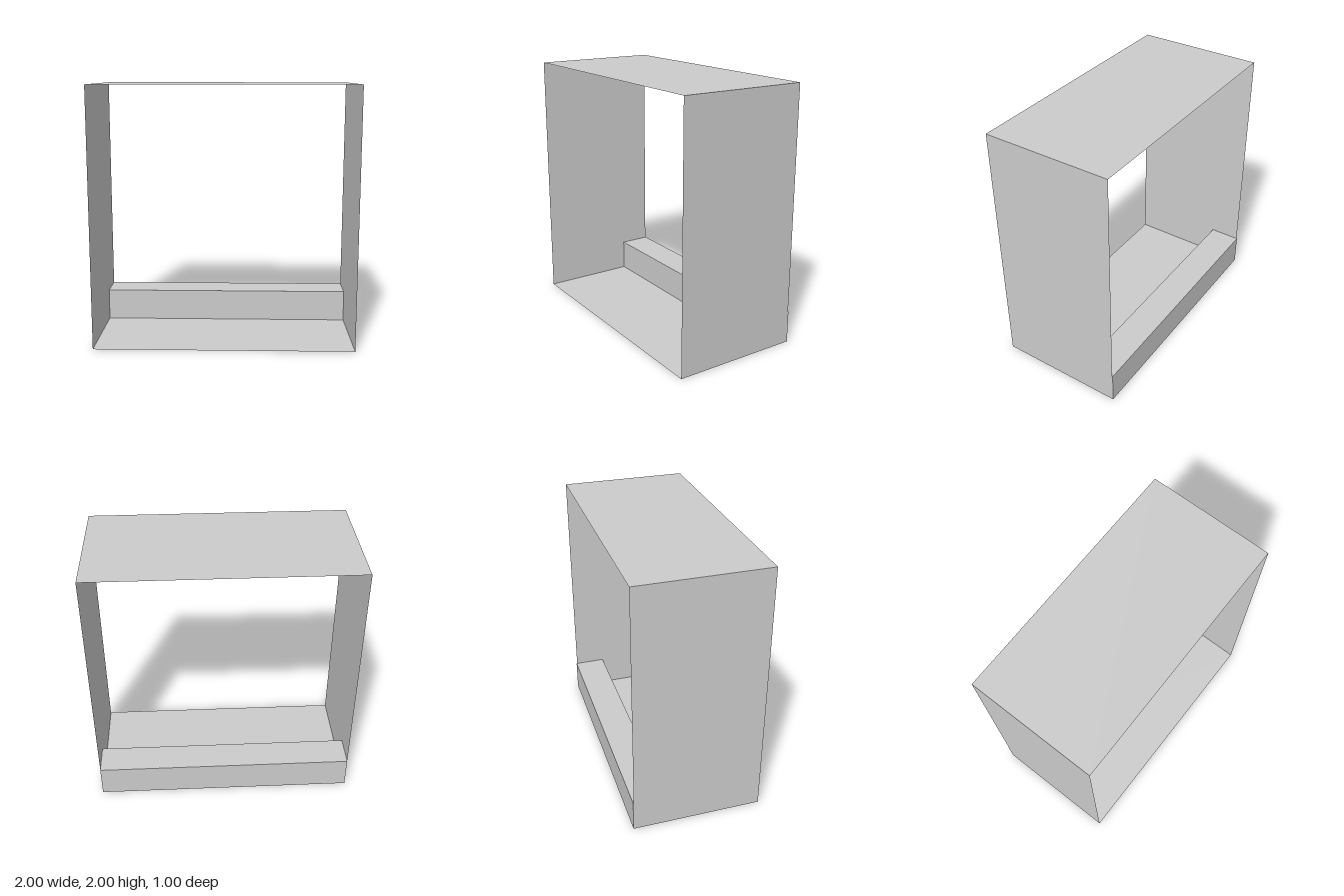
import * as THREE from 'three';

export function createModel() {
  const group = new THREE.Group();
  const sheet = new THREE.MeshStandardMaterial({ color: 0xcccccc, flatShading: true, side: THREE.DoubleSide });
  const solid = new THREE.MeshStandardMaterial({ color: 0xcccccc, flatShading: true });
  const front = 0.5, back = -0.495;
  const depth = front - back, midZ = (front + back) / 2;

  // Thin open frame: floor, ceiling and two side walls
  const addPanel = (name, x, y, rotX, rotY) => {
    const geometry = rotX ? new THREE.PlaneGeometry(2, depth) : new THREE.PlaneGeometry(depth, 2);
    const mesh = new THREE.Mesh(geometry, sheet);
    mesh.name = name;
    mesh.rotation.set(rotX, rotY, 0);
    mesh.position.set(x, y, midZ);
    group.add(mesh);
  };
  addPanel('floor', 0, 0, Math.PI / 2, 0);
  addPanel('ceiling', 0, 2, -Math.PI / 2, 0);
  addPanel('leftWall', 1, 1, 0, Math.PI / 2);
  addPanel('rightWall', -1, 1, 0, -Math.PI / 2);

  // Low ledge along the back, in two lengths that meet at a seam
  const seam = -0.375;
  for (const [name, x0, x1] of [['rightLedge', -1, seam], ['leftLedge', seam, 1]]) {
    const ledge = new THREE.Mesh(new THREE.BoxGeometry(x1 - x0, 0.25, 0.25), solid);
    ledge.name = name;
    ledge.position.set((x0 + x1) / 2, 0.125, -0.375);
    group.add(ledge);
  }
  return group;
}
